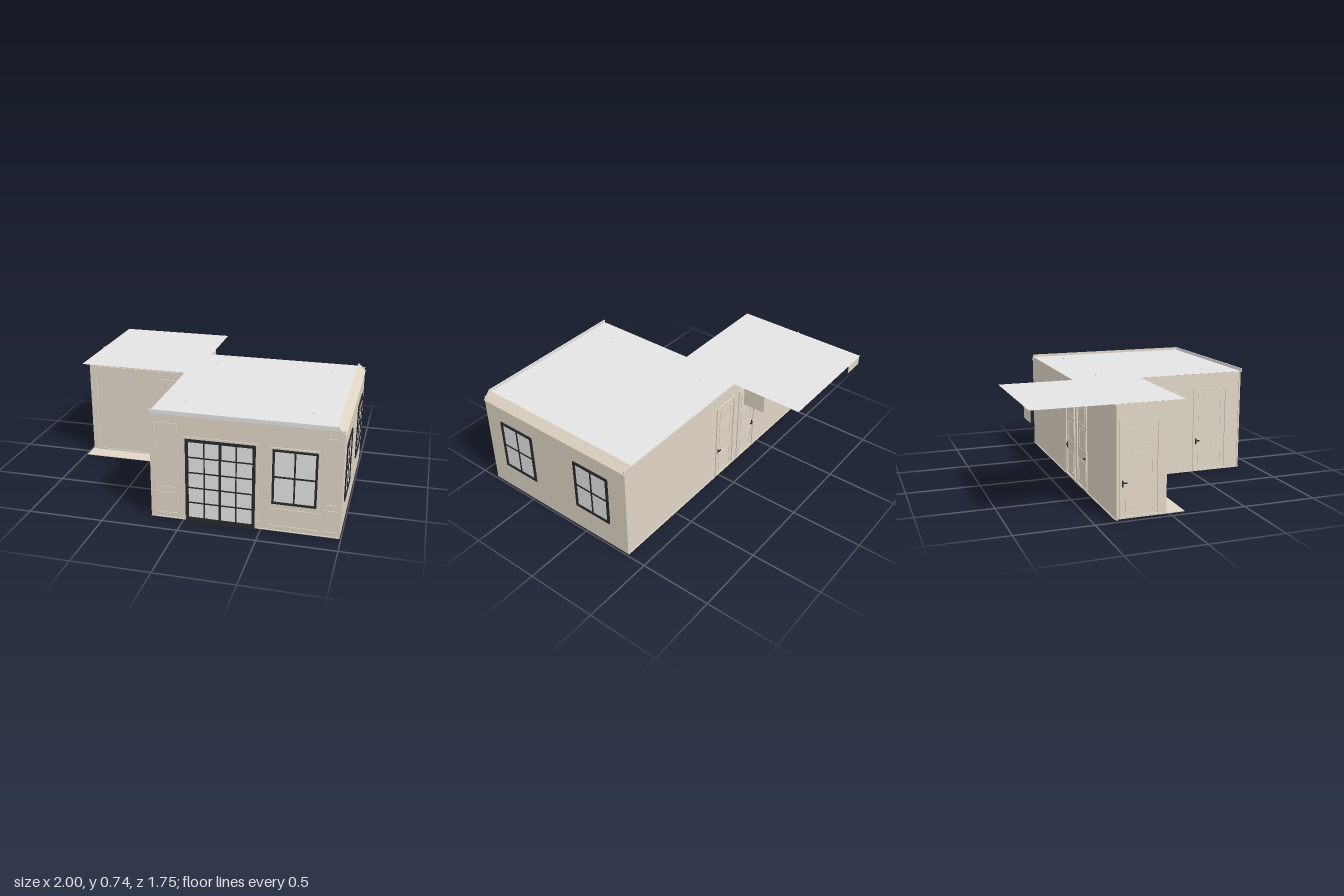
import * as THREE from 'three';

const mat = (name, color) => {
  const m = new THREE.MeshStandardMaterial({ color });
  m.name = name;
  return m;
};

export function createModel() {
  const model = new THREE.Group();
  model.name = 'apartment';
  const beige = mat('beige plaster', 0xe0d6c6);
  const grey = mat('grey ceiling', 0xe4e4e4);
  const glass = mat('pale glass', 0xe4e4e5);
  const dark = mat('dark frame', 0x27292b);

  const points = list => list.map(p => new THREE.Vector2(...p));

  const add = (parent, name, geometry, m) => {
    const mesh = new THREE.Mesh(geometry, m);
    mesh.name = name;
    parent.add(mesh);
    return mesh;
  };

  // Box given by its limits on each axis
  const box = (parent, name, m, x0, x1, y0, y1, z0, z1) =>
    add(parent, name, new THREE.BoxGeometry(x1 - x0, y1 - y0, z1 - z0), m)
      .position.set((x0 + x1) / 2, (y0 + y1) / 2, (z0 + z1) / 2);

  // Horizontal sheet from an outline of x, z corners; up is 1 or -1
  const sheet = (name, m, outline, y, up) => {
    const shape = new THREE.Shape(points(outline.map(([x, z]) => [x, -up * z])));
    const mesh = add(model, name, new THREE.ShapeGeometry(shape), m);
    mesh.rotation.x = -up * Math.PI / 2;
    mesh.position.y = y;
  };

  // Group lying on a wall: local x runs to the right as seen from outside, z outwards
  const face = (name, x, z, turn) => {
    const g = new THREE.Group();
    g.name = name;
    g.position.set(x, 0, z);
    g.rotation.y = turn;
    model.add(g);
    return g;
  };

  // Rectangular ring of width w
  const ring = (parent, name, m, x0, x1, y0, y1, w, d) => {
    const s = new THREE.Shape(points([[x0, y0], [x1, y0], [x1, y1], [x0, y1]]));
    s.holes.push(new THREE.Path(
      points([[x0 + w, y0 + w], [x0 + w, y1 - w], [x1 - w, y1 - w], [x1 - w, y0 + w]])));
    add(parent, name, new THREE.ExtrudeGeometry(s, { depth: d, bevelEnabled: false }), m);
  };

  // Glazed panel with a dark frame and a grid of bars
  const glazing = (parent, name, x0, x1, y0, y1, cols, rows, w, bar) => {
    const g = new THREE.Group();
    g.name = name;
    parent.add(g);
    box(g, 'pane', glass, x0 + w / 2, x1 - w / 2, y0 + w / 2, y1 - w / 2, 0, 0.002);
    ring(g, 'frame', dark, x0, x1, y0, y1, w, 0.008);
    for (let i = 1; i < cols; i++) {
      const x = x0 + w + (x1 - x0 - 2 * w) * i / cols;
      box(g, 'uprightBar', dark, x - bar / 2, x + bar / 2, y0 + w, y1 - w, 0, 0.006);
    }
    for (let j = 1; j < rows; j++) {
      const y = y0 + w + (y1 - y0 - 2 * w) * j / rows;
      box(g, 'crossBar', dark, x0 + w, x1 - w, y - bar / 2, y + bar / 2, 0, 0.006);
    }
  };

  // Panelled door with casing and lever handle; side is +1 or -1 for the handle edge
  const door = (parent, x0, x1, side) => {
    const g = new THREE.Group();
    g.name = 'door';
    parent.add(g);
    ring(g, 'casing', beige, x0, x1, 0.014, 0.615, 0.012, 0.008);
    for (const [a, b] of [[0.05, 0.2], [0.28, 0.42], [0.45, 0.57]])
      ring(g, 'doorPanel', beige, x0 + 0.04, x1 - 0.04, a, b, 0.004, 0.003);
    const hx = side > 0 ? x1 - 0.024 : x0 + 0.024;
    box(g, 'handlePlate', dark, hx - 0.004, hx + 0.004, 0.21, 0.25, 0, 0.005);
    box(g, 'handleLever', dark, Math.min(hx, hx - side * 0.025), Math.max(hx, hx - side * 0.025),
      0.232, 0.239, 0.005, 0.013);
  };

  // Floors
  box(model, 'roomFloor', beige, -0.21, 0.993, 0.01, 0.015, -0.37, 0.872);
  box(model, 'hallFloor', beige, -0.98, -0.21, 0.01, 0.015, -0.37, 0.09);

  // Walls
  box(model, 'frontWall', beige, -0.21, 0.993, 0.01, 0.716, 0.856, 0.866);
  box(model, 'rightWall', beige, 0.983, 0.993, 0.01, 0.69, -0.362, 0.866);
  box(model, 'backWall', beige, -0.998, 0.993, 0.01, 0.718, -0.364, -0.356);
  box(model, 'roomLeftWall', beige, -0.204, -0.196, 0.01, 0.718, -0.03, 0.866);
  box(model, 'hallFrontWall', beige, -0.975, -0.2, 0.01, 0.718, -0.04, -0.03);
  box(model, 'hallEndWall', beige, -0.975, -0.967, 0.01, 0.718, -0.364, -0.03);

  // One ceiling over room, hall and rear corner: grey above, plaster beneath
  const plan = [[-0.98, -0.88], [-0.14, -0.88], [-0.14, -0.37], [0.95, -0.37],
    [0.95, 0.872], [-0.21, 0.872], [-0.21, 0.09], [-0.98, 0.09]];
  sheet('ceilingTop', grey, plan, 0.722, 1);
  sheet('ceilingUnderside', beige, plan, 0.719, -1);

  // Raised lip along the front and sloping cove along the right edge
  box(model, 'frontLip', grey, -0.21, 0.945, 0.716, 0.742, 0.866, 0.874);
  const coveShape = new THREE.Shape(points([[0.945, 0.69], [0.998, 0.69], [0.945, 0.742]]));
  const cove = add(model, 'slopingCove',
    new THREE.ExtrudeGeometry(coveShape, { depth: 1.24, bevelEnabled: false }), beige);
  cove.position.z = -0.37;

  // Hanging bulkhead plates under the rear ceiling
  box(model, 'bulkheadSide', beige, -0.173, -0.167, 0.57, 0.716, -0.6, -0.44);
  box(model, 'bulkheadRear', beige, -0.98, -0.83, 0.65, 0.718, -0.874, -0.872);

  // Front: double glazed doors, window and wall mouldings
  const front = face('frontDetails', 0, 0.866, 0);
  box(front, 'threshold', dark, 0.02, 0.465, 0, 0.016, -0.012, 0.008);
  glazing(front, 'glazedDoors', 0.02, 0.465, 0.014, 0.57, 4, 5, 0.02, 0.008);
  box(front, 'meetingStile', dark, 0.235, 0.25, 0.03, 0.55, 0, 0.008);
  ring(front, 'doorCasing', beige, 0.007, 0.478, 0.012, 0.583, 0.013, 0.006);
  glazing(front, 'frontWindow', 0.567, 0.843, 0.197, 0.56, 2, 2, 0.014, 0.01);
  ring(front, 'windowCasing', beige, 0.553, 0.855, 0.187, 0.573, 0.011, 0.008);
  for (const [x0, x1] of [[-0.18, -0.03], [0.89, 0.975]]) {
    ring(front, 'lowerMoulding', beige, x0, x1, 0.04, 0.19, 0.008, 0.005);
    ring(front, 'upperMoulding', beige, x0, x1, 0.22, 0.66, 0.008, 0.005);
  }
  ring(front, 'sillMoulding', beige, 0.54, 0.87, 0.04, 0.165, 0.008, 0.005);

  // Right side: two windows (local x = -z)
  const right = face('rightDetails', 0.993, 0, Math.PI / 2);
  for (const x of [-0.73, -0.07])
    glazing(right, 'sideWindow', x, x + 0.29, 0.197, 0.573, 2, 2, 0.018, 0.01);

  // Back: two doors (local x = -x)
  const back = face('backDetails', 0, -0.364, Math.PI);
  door(back, -0.045, 0.165, -1);
  door(back, 0.215, 0.43, 1);

  // Hall front: door, rails and corner post
  const hall = face('hallFrontDetails', 0, -0.03, 0);
  door(hall, -0.43, -0.215, -1);
  box(hall, 'pictureRail', beige, -0.925, -0.21, 0.64, 0.675, 0, 0.008);
  box(hall, 'upperRail', beige, -0.83, -0.21, 0.69, 0.71, 0, 0.008);
  box(hall, 'skirting', beige, -0.925, -0.43, 0.014, 0.026, 0, 0.006);
  box(hall, 'cornerPost', beige, -0.955, -0.925, 0.014, 0.705, 0, 0.008);

  // Left sides: end door and room door (local x = z)
  door(face('hallEndDetails', -0.975, 0, -Math.PI / 2), -0.34, -0.08, -1);
  door(face('roomLeftDetails', -0.204, 0, -Math.PI / 2), 0.5, 0.76, -1);

  // Ceiling spots
  for (const x of [-0.035, 0.775]) for (const z of [-0.17, 0.64])
    add(model, 'ceilingSpot', new THREE.CylinderGeometry(0.007, 0.007, 0.008, 12), grey)
      .position.set(x, 0.724, z);
  return model;
}
